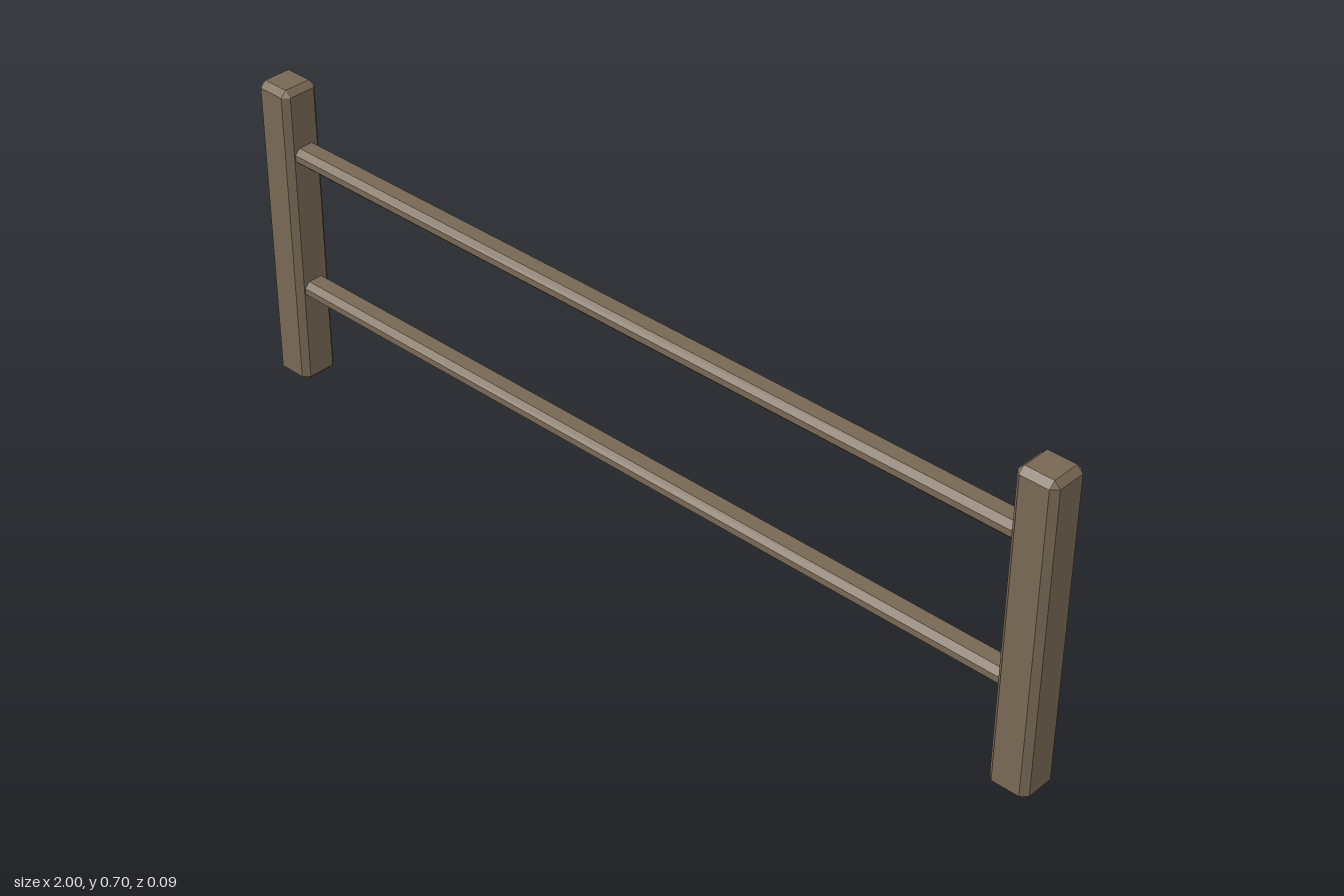
import * as THREE from 'three';
import { ConvexGeometry } from 'three/addons/geometries/ConvexGeometry.js';

// Box with every edge cut flat by the given bevel
function chamferedBox(width, height, depth, bevel) {
  const [x, y, z] = [width / 2, height / 2, depth / 2];
  const points = [];
  for (const sx of [-1, 1]) for (const sy of [-1, 1]) for (const sz of [-1, 1]) {
    points.push(
      new THREE.Vector3(sx * x, sy * (y - bevel), sz * (z - bevel)),
      new THREE.Vector3(sx * (x - bevel), sy * y, sz * (z - bevel)),
      new THREE.Vector3(sx * (x - bevel), sy * (y - bevel), sz * z)
    );
  }
  return new ConvexGeometry(points);
}

export function createModel() {
  const group = new THREE.Group();
  group.name = 'fence';
  const wood = new THREE.MeshStandardMaterial({ color: 0x786854, flatShading: true });

  function add(name, geometry, x, y) {
    const mesh = new THREE.Mesh(geometry, wood);
    mesh.name = name;
    mesh.position.set(x, y, 0);
    group.add(mesh);
  }

  // Upright posts at both ends
  const post = chamferedBox(0.088, 0.7, 0.088, 0.013);
  add('leftPost', post, 0.956, 0.35);
  add('rightPost', post, -0.956, 0.35);

  // Two horizontal rails let into the posts
  const rail = chamferedBox(1.9, 0.038, 0.057, 0.012);
  add('upperRail', rail, 0, 0.547);
  add('lowerRail', rail, 0, 0.227);

  return group;
}
